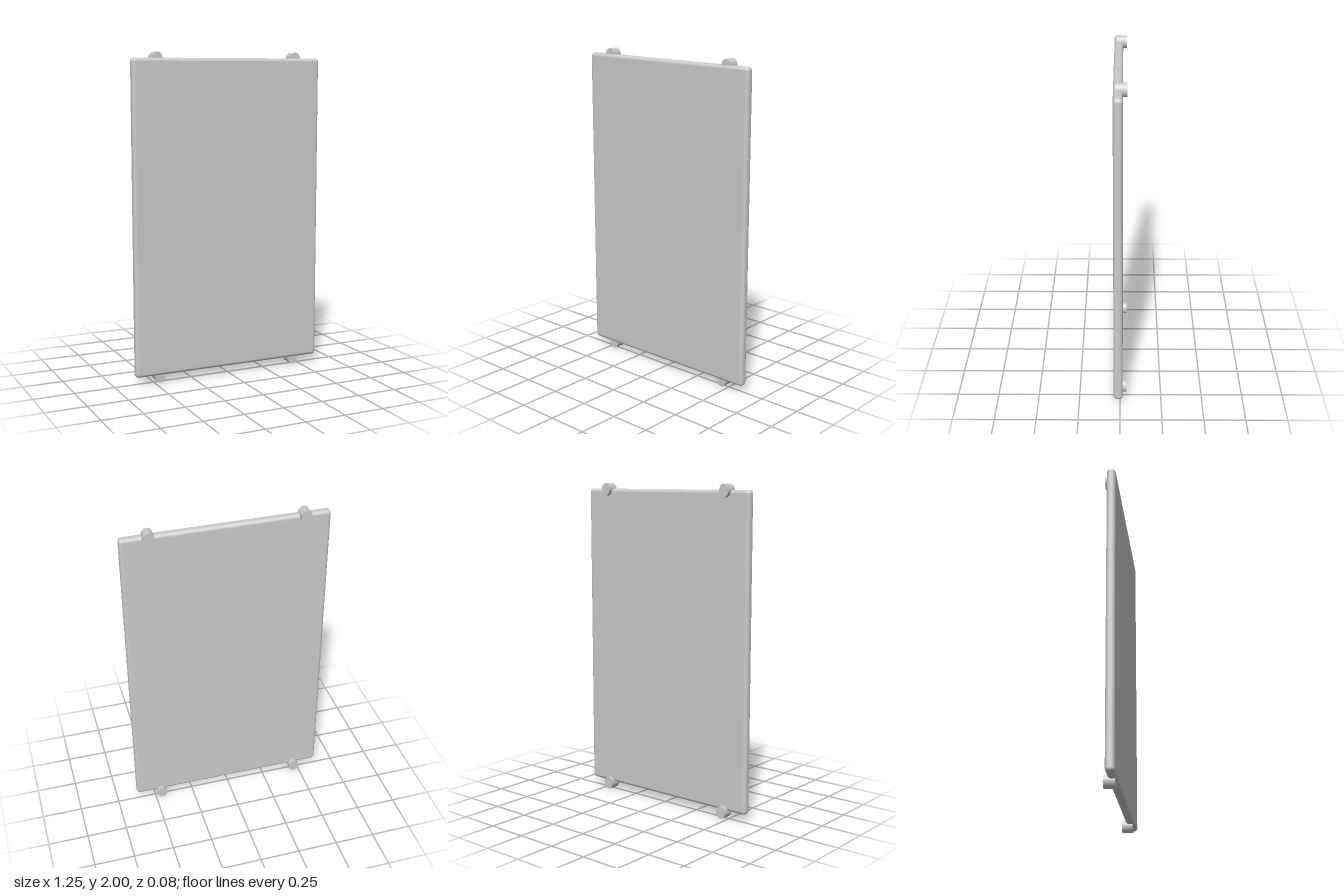
import * as THREE from 'three';
import { RoundedBoxGeometry } from 'three/addons/geometries/RoundedBoxGeometry.js';

export function createModel() {
  const model = new THREE.Group();
  model.name = 'wallPanel';
  const material = new THREE.MeshStandardMaterial({ color: 0xcccccc });

  // Thin slab with softened edges
  const panel = new THREE.Mesh(new RoundedBoxGeometry(1.246, 1.918, 0.054, 5, 0.021), material);
  panel.name = 'panel';
  panel.position.set(0, 1.006, 0.012);
  model.add(panel);

  // Slightly oval mounting pegs, peeking past the top and bottom edges
  const pegGeometry = new THREE.CylinderGeometry(0.033, 0.033, 0.066, 32);
  pegGeometry.rotateX(Math.PI / 2).scale(1, 0.039 / 0.033, 1);
  for (const [row, y] of [['bottom', 0.039], ['top', 1.961]]) {
    for (const [side, x] of [['Right', -0.463], ['Left', 0.458]]) {
      const peg = new THREE.Mesh(pegGeometry, material);
      peg.name = `${row}${side}Peg`;
      peg.position.set(x, y, -0.006);
      model.add(peg);
    }
  }
  return model;
}
